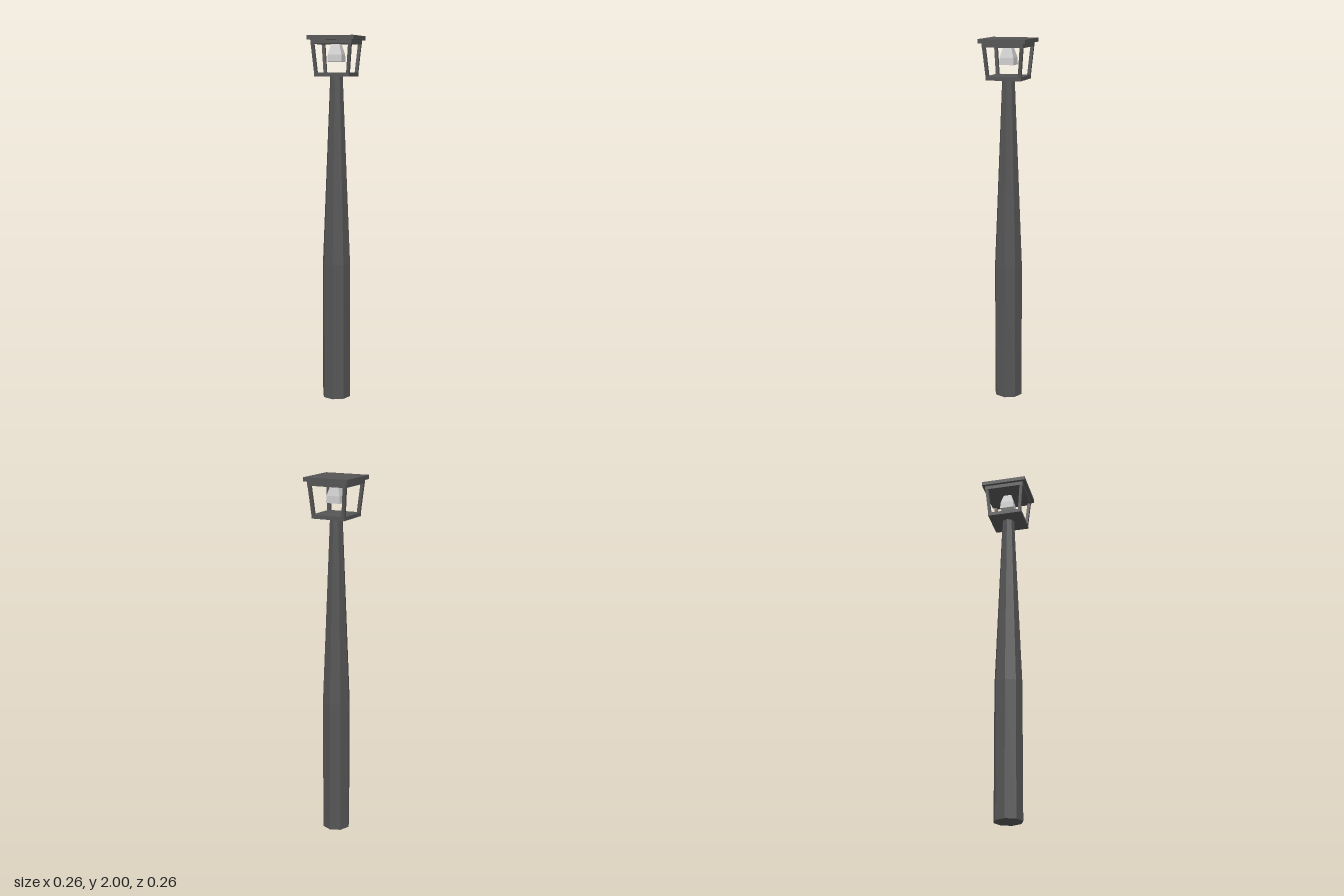
import * as THREE from 'three';

const iron = new THREE.MeshStandardMaterial({ color: 0x555555, flatShading: true });
const glass = new THREE.MeshStandardMaterial({ color: 0xcccccc, flatShading: true });

function add(parent, name, geometry, material, y = 0) {
  const mesh = new THREE.Mesh(geometry, material);
  mesh.name = name;
  mesh.position.y = y;
  parent.add(mesh);
  return mesh;
}

// Flat square slab between two heights
function slab(parent, name, half, y0, y1) {
  return add(parent, name, new THREE.BoxGeometry(half * 2, y1 - y0, half * 2), iron, (y0 + y1) / 2);
}

// Turned solid with straight facets; the profile runs from bottom to top
function faceted(profile, sides, turn = 0) {
  const points = profile.map(([r, y]) => new THREE.Vector2(r, y));
  return new THREE.LatheGeometry(points, sides, turn);
}

export function createModel() {
  const model = new THREE.Group();
  model.name = 'lampPost';

  // Octagonal pole: straight below, tapered above
  add(model, 'pole', faceted([[0, 0], [0.078, 0], [0.078, 0.76], [0.035, 1.79], [0, 1.79]], 8), iron);

  // Lantern head
  const lantern = new THREE.Group();
  lantern.name = 'lantern';
  model.add(lantern);
  slab(lantern, 'basePlate', 0.097, 1.784, 1.804);
  slab(lantern, 'roofRim', 0.112, 1.956, 1.98);
  slab(lantern, 'roof', 0.128, 1.978, 2);

  // Corner posts leaning outward towards the roof
  const y0 = 1.804, y1 = 1.957, w = 0.017;
  for (const sx of [-1, 1]) {
    for (const sz of [-1, 1]) {
      const geo = new THREE.BoxGeometry(w, y1 - y0, w);
      const p = geo.attributes.position;
      for (let i = 0; i < p.count; i++) {
        const reach = (p.getY(i) > 0 ? 0.111 : 0.097) - w / 2;
        p.setX(i, p.getX(i) + sx * reach);
        p.setZ(i, p.getZ(i) + sz * reach);
      }
      geo.computeVertexNormals();
      add(lantern, 'cornerPost', geo, iron, (y0 + y1) / 2);
    }
  }

  // Square bell-shaped lamp hanging from the roof
  const k = Math.SQRT2;
  add(lantern, 'lamp', faceted(
    [[0, 1.862], [0.04 * k, 1.862], [0.038 * k, 1.9], [0.022 * k, 1.957], [0, 1.957]], 4, Math.PI / 4), glass);

  return model;
}
